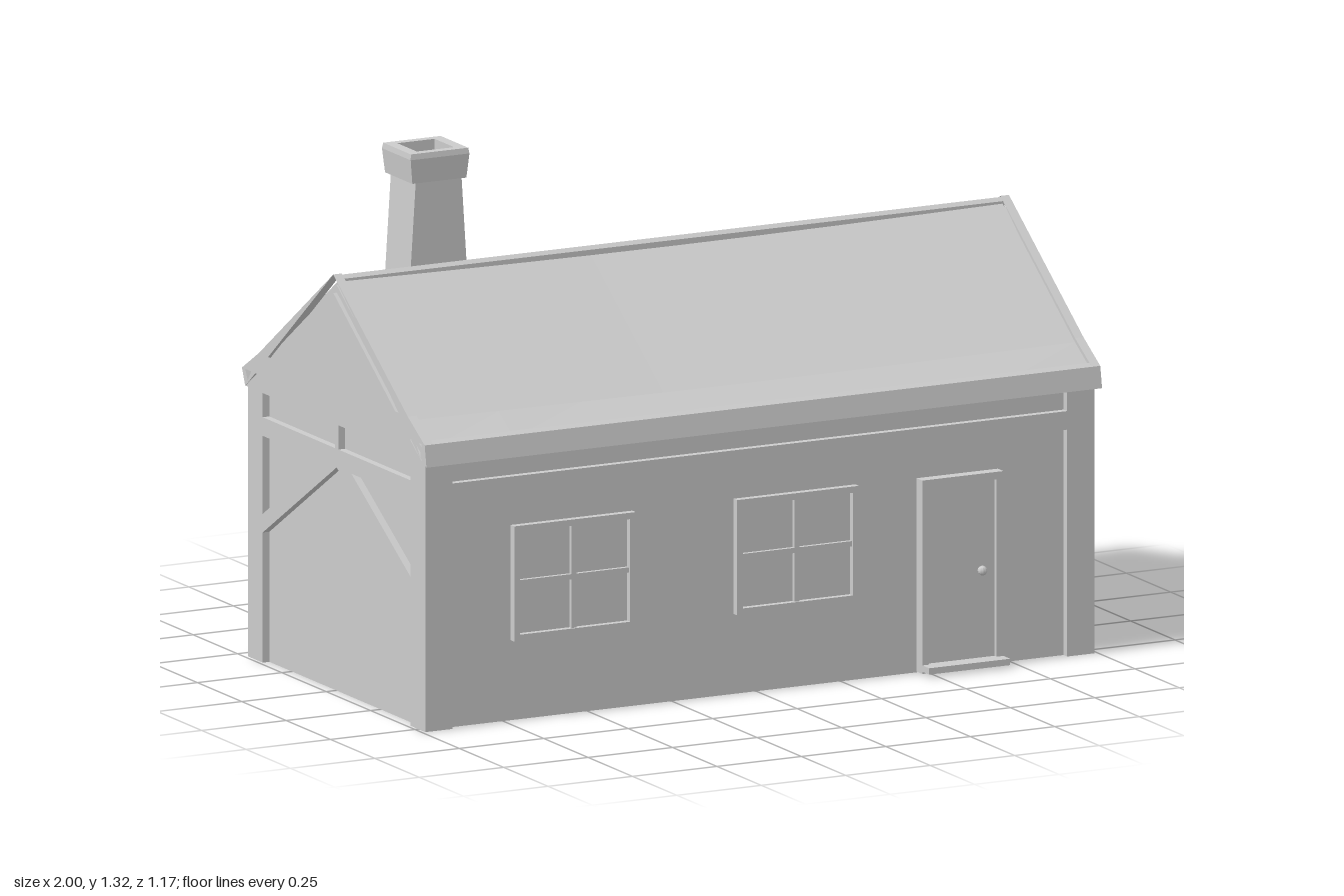
import * as THREE from 'three';

const grey = new THREE.MeshStandardMaterial({ color: 0xcccccc, flatShading: true });
const MID = 0.04; // z of the ridge

function add(parent, name, geometry) {
  const mesh = new THREE.Mesh(geometry, grey);
  mesh.name = name;
  parent.add(mesh);
  return mesh;
}

// Box given by its limits
function box(x0, x1, y0, y1, z0, z1) {
  return new THREE.BoxGeometry(x1 - x0, y1 - y0, z1 - z0)
    .translate((x0 + x1) / 2, (y0 + y1) / 2, (z0 + z1) / 2);
}

// Outline of [z, y] points extruded along x
function extrudeX(outline, x0, x1, holes = [], steps = 1) {
  const points = list => list.map(([z, y]) => new THREE.Vector2(-z, y));
  const shape = new THREE.Shape(points(outline));
  holes.forEach(h => shape.holes.push(new THREE.Path(points(h))));
  return new THREE.ExtrudeGeometry(shape, { depth: x1 - x0, bevelEnabled: false, steps })
    .rotateY(Math.PI / 2).translate(x0, 0, 0);
}

// Points listed from the ridge outwards, mirrored about the ridge
const mirror = list => list.map(([d, y]) => [MID - d, y]);
const front = list => list.map(([d, y]) => [MID + d, y]);
const symmetric = list => [...front(list), ...mirror(list).reverse()];

// Rectangular frame facing +z
function frame(w, h, border, depth) {
  const rect = (a, b) => [[-a, -b], [a, -b], [a, b], [-a, b]].map(p => new THREE.Vector2(...p));
  const shape = new THREE.Shape(rect(w / 2, h / 2));
  shape.holes.push(new THREE.Path(rect(w / 2 - border, h / 2 - border)));
  return new THREE.ExtrudeGeometry(shape, { depth, bevelEnabled: false });
}

// Four-pane window facing +z, its back at z = 0
function makeWindow(w, h, depth) {
  const g = new THREE.Group();
  g.name = 'window';
  add(g, 'windowFrame', frame(w, h, 0.017, depth));
  add(g, 'windowPanes', box(-w / 2 + 0.01, w / 2 - 0.01, -h / 2 + 0.01, h / 2 - 0.01, 0, depth * 0.3));
  add(g, 'verticalBar', box(-0.007, 0.007, -h / 2 + 0.01, h / 2 - 0.01, 0, depth * 0.75));
  add(g, 'crossBar', box(-w / 2 + 0.01, w / 2 - 0.01, -0.007, 0.007, 0, depth * 0.75));
  return g;
}

// Skin over stacked rectangles [y, x0, x1, z0, z1], closed at both ends
function loftRectangles(sections) {
  const rings = sections.map(([y, x0, x1, z0, z1]) => [[x0, y, z1], [x1, y, z1], [x1, y, z0], [x0, y, z0]]);
  const pos = [];
  const quad = (a, b, c, d) => pos.push(...a, ...b, ...c, ...a, ...c, ...d);
  for (let k = 0; k + 1 < rings.length; k++) {
    for (let i = 0; i < 4; i++) {
      const j = (i + 1) % 4;
      quad(rings[k][i], rings[k][j], rings[k + 1][j], rings[k + 1][i]);
    }
  }
  quad(...[...rings[0]].reverse());
  quad(...rings[rings.length - 1]);
  const g = new THREE.BufferGeometry();
  g.setAttribute('position', new THREE.Float32BufferAttribute(pos, 3));
  g.computeVertexNormals();
  return g;
}

function makeWalls() {
  const g = new THREE.Group();
  g.name = 'walls';
  add(g, 'wallPanels', extrudeX(symmetric([[0, 1.06], [0.48, 0.72], [0.48, 0]]), -0.97, 0.97));

  // Gable timbers: the open lower panel is part of the outline, the others are holes
  const outline = symmetric([[0, 1.1], [0.5, 0.745], [0.5, 0], [0.417, 0], [0.417, 0.35], [0, 0.61]]);
  const brace = [[0.417, 0.4], [0.417, 0.61], [0.083, 0.61]];
  const upper = [[0.01, 0.66], [0.417, 0.66], [0.417, 0.78], [0.01, 1.075]];
  const holes = [front(brace), mirror(brace), front(upper), mirror(upper)];
  for (const x of [-0.99, 0.97]) add(g, 'gableTimbers', extrudeX(outline, x, x + 0.02, holes));

  // Corner posts and beams of the long walls
  for (const [z0, z1] of [[0.52, 0.54], [-0.46, -0.44]]) {
    for (const s of [-1, 1]) {
      add(g, 'cornerPost', box(Math.min(s * 0.91, s * 0.97), Math.max(s * 0.91, s * 0.97), 0, 0.74, z0, z1));
    }
  }
  add(g, 'frontBeam', box(-0.91, 0.91, 0.61, 0.66, 0.52, 0.54));
  add(g, 'backBeam', box(-0.91, 0.91, 0.68, 0.74, -0.46, -0.44));
  return g;
}

function makeRoof() {
  const g = new THREE.Group();
  g.name = 'roof';
  // Slab, sagging a little towards the middle
  const slab = extrudeX(symmetric([[0, 1.12], [0.42, 0.822], [0.51, 0.766], [0.5, 0.725], [0, 1.075]]
    .slice(0, 4)).concat(), -0.975, 0.975, [], 8);
  const p = slab.attributes.position;
  for (let i = 0; i < p.count; i++) {
    const weight = THREE.MathUtils.clamp((p.getY(i) - 0.76) / 0.1, 0, 1);
    p.setY(i, p.getY(i) - 0.009 * weight * Math.cos(p.getX(i) / 0.975 * Math.PI / 2));
  }
  slab.computeVertexNormals();
  add(g, 'roofSlab', slab);

  // Raised boards over the gables
  const board = [
    ...symmetric([[0, 1.13], [0.42, 0.833], [0.515, 0.775]]),
    ...mirror([[0.495, 0.73], [0, 1.08]]), ...front([[0.495, 0.73]]),
  ];
  for (const x of [-1, 0.975]) add(g, 'gableBoard', extrudeX(board, x, x + 0.025));

  // Ridge cap and eaves
  add(g, 'ridgeCap', extrudeX(symmetric([[0, 1.127], [0.012, 1.118], [0.012, 1.09]]), -0.98, 0.98));
  add(g, 'frontEave', extrudeX([[0.54, 0.783], [0.555, 0.775], [0.565, 0.717], [0.53, 0.738]], -1, 1));
  add(g, 'backEave', extrudeX([[-0.46, 0.783], [-0.475, 0.775], [-0.457, 0.73], [-0.44, 0.742]], -1, 1));
  return g;
}

function makeDoor() {
  const g = new THREE.Group();
  g.name = 'door';
  add(g, 'doorFrame', frame(0.24, 0.52, 0.02, 0.035)).position.set(0.595, 0.262, 0.517);
  add(g, 'doorLeaf', box(0.49, 0.7, 0.01, 0.51, 0.51, 0.54));
  add(g, 'doorKnob', new THREE.SphereGeometry(0.013, 10, 8)).position.set(0.655, 0.26, 0.548);
  add(g, 'doorStep', box(0.475, 0.715, 0.008, 0.025, 0.52, 0.59));
  return g;
}

export function createModel() {
  const model = new THREE.Group();
  model.name = 'cottage';
  model.add(makeWalls(), makeRoof(), makeDoor());

  // Two front windows and one in the left gable
  for (const x of [-0.547, 0.113]) {
    const w = makeWindow(0.36, 0.31, 0.025);
    w.position.set(x, 0.37, 0.515);
    model.add(w);
  }
  const side = makeWindow(0.235, 0.205, 0.032);
  side.rotation.y = Math.PI / 2;
  side.position.set(0.965, 0.377, 0.04);
  model.add(side);

  // Chimney from the broad base up to the cap and down into the flue
  add(model, 'chimney', loftRectangles([
    [0.02, -0.625, -0.29, -0.585, -0.44],
    [0.355, -0.625, -0.29, -0.585, -0.44],
    [0.4, -0.608, -0.307, -0.573, -0.43],
    [0.48, -0.572, -0.342, -0.54, -0.4],
    [0.69, -0.56, -0.354, -0.54, -0.4],
    [1.235, -0.525, -0.389, -0.54, -0.4],
    [1.235, -0.537, -0.377, -0.55, -0.396],
    [1.3, -0.544, -0.37, -0.554, -0.392],
    [1.315, -0.542, -0.372, -0.551, -0.395],
    [1.315, -0.512, -0.402, -0.528, -0.418],
    [1.285, -0.512, -0.402, -0.528, -0.418],
  ]));
  return model;
}
